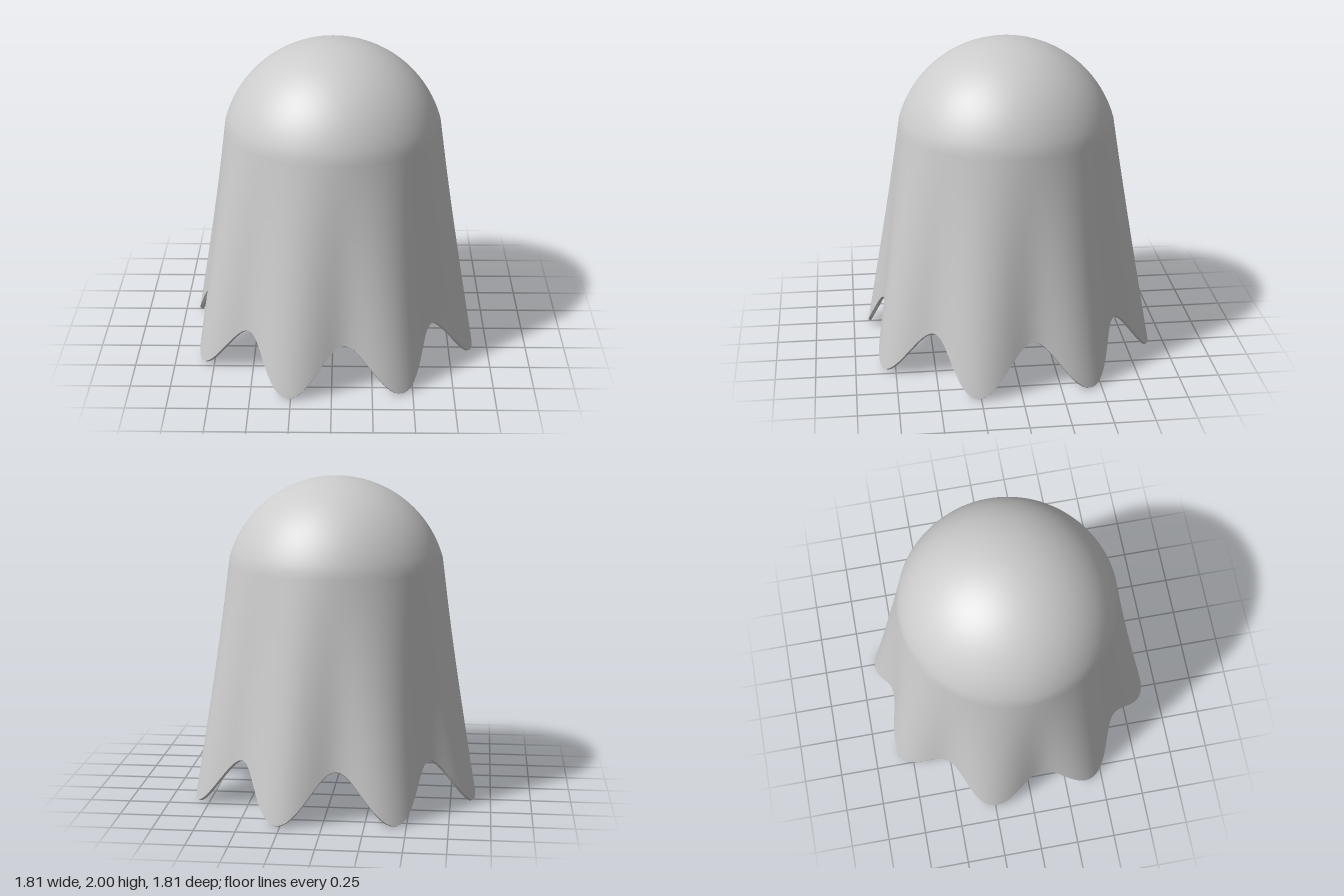
import * as THREE from 'three';

const SIDES = 192, FOLDS = 8;
const CREASE_Y = 1.495, CREASE_R = 0.671;        // where the crown meets the skirt
const CROWN_H = 2 - CREASE_Y;
const DOME_R = (CREASE_R ** 2 + CROWN_H ** 2) / (2 * CROWN_H), DOME_Y = 2 - DOME_R;
const HEM_R = 0.872, FOLD_DEPTH = 0.066, HEM_LIFT = 0.158;
const THICK = 0.015, LIP = 0.008;                // hem edge, tilted slightly down and in
const CEILING_Y = 0.775, CEILING_R = 0.57;

const lerp = THREE.MathUtils.lerp;

// Angles run from +z towards +x; fold is +1 on a tip and -1 in a notch
const fold = (a) => Math.cos(FOLDS * (a + 0.298));
const hemY = (a) => HEM_LIFT * (1 - fold(a));
const hemR = (a) => HEM_R + FOLD_DEPTH * fold(a);

// Closed rings of points joined into a surface; ring(a, v) gives [radius, y]
function loft(name, rows, ring, material) {
  const positions = [], index = [];
  for (let i = 0; i <= rows; i++) {
    for (let j = 0; j < SIDES; j++) {
      const a = (j / SIDES) * Math.PI * 2;
      const [r, y] = ring(a, i / rows);
      positions.push(r * Math.sin(a), y, r * Math.cos(a));
      if (i === rows) continue;
      const p = i * SIDES + j, q = i * SIDES + ((j + 1) % SIDES);
      index.push(p, p + SIDES, q, q, p + SIDES, q + SIDES);
    }
  }
  const geometry = new THREE.BufferGeometry();
  geometry.setAttribute('position', new THREE.Float32BufferAttribute(positions, 3));
  geometry.setIndex(index);
  geometry.computeVertexNormals();
  const mesh = new THREE.Mesh(geometry, material);
  mesh.name = name;
  return mesh;
}

export function createModel() {
  const group = new THREE.Group();
  group.name = 'drapedSheet';
  const material = new THREE.MeshStandardMaterial({ color: 0xcccccc, side: THREE.DoubleSide });
  const domeEnd = Math.acos((CREASE_Y - DOME_Y) / DOME_R);

  // Crown and skirt in one smooth surface; the folds deepen towards the hem
  group.add(loft('sheet', 50, (a, v) => {
    if (v < 0.4) {
      const t = Math.max(v / 0.4, 0.001) * domeEnd;
      return [DOME_R * Math.sin(t), DOME_Y + DOME_R * Math.cos(t)];
    }
    const s = (v - 0.4) / 0.6;
    const r = lerp(CREASE_R, HEM_R, s) + FOLD_DEPTH * fold(a) * s ** 1.15;
    return [r, lerp(CREASE_Y, hemY(a) + LIP, s)];
  }, material));

  // Thin scalloped hem edge
  group.add(loft('hemEdge', 1, (a, v) =>
    [hemR(a) - THICK * v, hemY(a) + LIP * (1 - v)], material));

  // Lining, narrowing from the scalloped hem to a round ceiling
  group.add(loft('lining', 24, (a, v) =>
    [lerp(hemR(a) - THICK, CEILING_R, v), lerp(hemY(a), CEILING_Y, v)], material));

  // Flat ceiling closing the hollow
  group.add(loft('ceiling', 2, (a, v) => [CEILING_R * (1 - v), CEILING_Y], material));

  return group;
}
